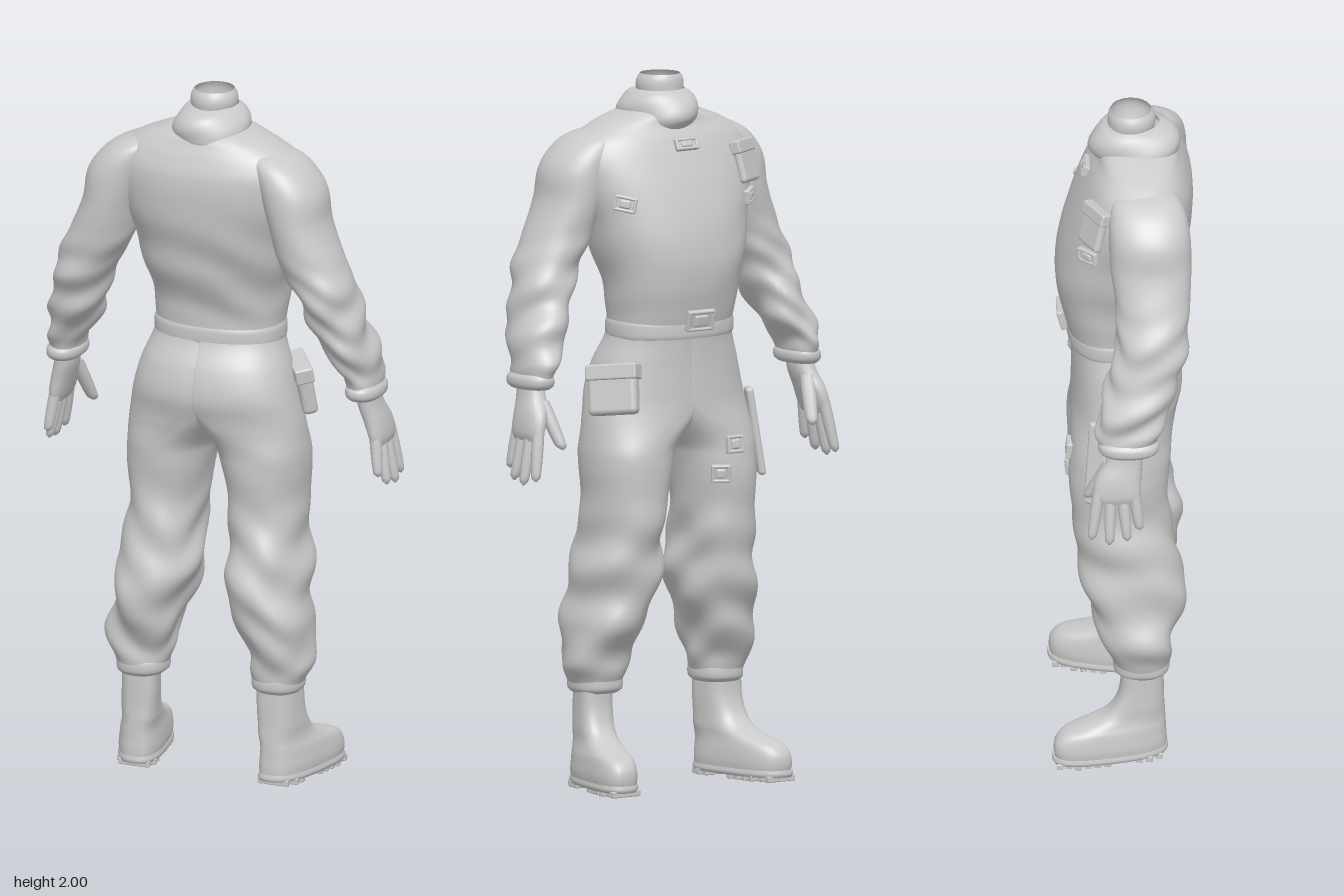
import * as THREE from 'three';
import { RoundedBoxGeometry } from 'three/addons/geometries/RoundedBoxGeometry.js';

const clay = new THREE.MeshStandardMaterial({ color: 0xcacaca });
clay.name = 'clay grey';
clay.side = THREE.DoubleSide;

// Smooth curve through the sections [y, xMin, xMax, zMin, zMax]
function sampler(sections) {
  const slope = (k, c) => {
    const a = sections[Math.max(k - 1, 0)], b = sections[Math.min(k + 1, sections.length - 1)];
    return (b[c] - a[c]) / (b[0] - a[0]);
  };
  return (y) => {
    let k = 0;
    while (k < sections.length - 2 && y > sections[k + 1][0]) k++;
    const p = sections[k], q = sections[k + 1], h = q[0] - p[0], t = (y - p[0]) / h;
    return [1, 2, 3, 4].map((c) =>
      (2 * t ** 3 - 3 * t * t + 1) * p[c] + (t ** 3 - 2 * t * t + t) * h * slope(k, c) +
      (3 * t * t - 2 * t ** 3) * q[c] + (t ** 3 - t * t) * h * slope(k + 1, c));
  };
}

// Surface of stacked superellipse rings; it keeps its surface function for attaching parts.
// shape(point, y, a) may reshape a point; start is the height where the mesh begins.
function loft(name, sections, { side = 1, n = 2.3, rows = 40, sides = 40, fold = () => 0, skew = 0, cap = true,
  shape = (p) => p, start: y0 = sections[0][0] } = {}) {
  const sample = sampler(sections), y1 = sections[sections.length - 1][0];
  const power = (v) => Math.sign(v) * Math.abs(v) ** (2 / n);
  const at = (y, a) => {
    const [x0, x1, z0, z1] = sample(y), f = fold(y, a);
    const z = (z0 + z1) / 2 + ((z1 - z0) / 2 + f) * power(Math.sin(a));
    const x = side * ((x0 + x1) / 2 + skew * (0.05 - z)) + ((x1 - x0) / 2 + f) * power(Math.cos(a));
    return shape(new THREE.Vector3(x, y, z), y, a);
  };
  const pos = [], index = [];
  for (let i = 0; i <= rows; i++)
    for (let j = 0; j < sides; j++)
      pos.push(...at(y0 + (y1 - y0) * i / rows, j / sides * Math.PI * 2).toArray());
  for (let i = 0; i < rows; i++)
    for (let j = 0; j < sides; j++) {
      const a = i * sides + j, b = i * sides + (j + 1) % sides;
      index.push(a, a + sides, b, b, a + sides, b + sides);
    }
  // flat ends with their own vertices
  if (cap) for (const [row, top] of [[0, false], [rows, true]]) {
    const first = pos.length / 3, c = new THREE.Vector3();
    for (let j = 0; j < sides; j++) {
      const k = (row * sides + j) * 3, v = pos.slice(k, k + 3);
      pos.push(...v);
      c.add(new THREE.Vector3(...v));
    }
    pos.push(...c.divideScalar(sides).toArray());
    for (let j = 0; j < sides; j++) {
      const a = first + j, b = first + (j + 1) % sides;
      index.push(first + sides, top ? b : a, top ? a : b);
    }
  }
  const g = new THREE.BufferGeometry();
  g.setAttribute('position', new THREE.Float32BufferAttribute(pos, 3));
  g.setIndex(index);
  g.computeVertexNormals();
  const mesh = new THREE.Mesh(g, clay);
  mesh.name = name;
  return { mesh, at };
}

// Rounded finger between two points
function finger(name, side, [x0, y0, z0], [x1, y1, z1], r) {
  const ring = (t, k) => {
    const x = x0 + (x1 - x0) * t, y = y0 + (y1 - y0) * t, z = z0 + (z1 - z0) * t;
    return [y, x - r * k, x + r * k, z - r * k, z + r * k];
  };
  return loft(name, [ring(1, 0.15), ring(0.95, 0.65), ring(0.82, 0.85), ring(0.4, 1), ring(0, 1)],
    { side, n: 2, rows: 16, sides: 10 }).mesh;
}

function box(name, w, h, d, r = 0.006) {
  const m = new THREE.Mesh(new RoundedBoxGeometry(w, h, d, 3, Math.min(r, d / 2.1)), clay);
  m.name = name;
  return m;
}

// Buckle or clip: a raised frame around a small tongue
function buckle(name, w, h) {
  const g = new THREE.Group(), t = 0.009;
  g.name = name;
  for (const s of [-1, 1]) {
    const rail = box('buckleRail', w, t, 0.018), post = box('bucklePost', t, h, 0.018);
    rail.position.y = s * (h - t) / 2;
    post.position.x = s * (w - t) / 2;
    g.add(rail, post);
  }
  g.add(box('buckleTongue', w * 0.5, h * 0.55, 0.02), box('buckleBase', w, h, 0.008));
  return g;
}

// Pocket: pouch body with a flap
function pocket(name, w, h, d) {
  const g = new THREE.Group(), flap = box('pocketFlap', w * 1.05, h * 0.32, d + 0.008);
  g.name = name;
  flap.position.y = h * 0.36;
  g.add(box('pocketBody', w, h, d, 0.015), flap);
  return g;
}

// Seat an object on a lofted surface, facing outward
function attach(obj, surface, y, a, roll = 0, out = 0.004) {
  const p = surface.at(y, a);
  const x = surface.at(y, a - 0.08).sub(surface.at(y, a + 0.08)).normalize();
  const up = surface.at(y + 0.03, a).sub(surface.at(y - 0.03, a)).normalize();
  const z = x.clone().cross(up).normalize();
  obj.quaternion.setFromRotationMatrix(new THREE.Matrix4().makeBasis(x, z.clone().cross(x), z));
  obj.rotateZ(roll);
  obj.position.copy(p).addScaledVector(z, out);
  return obj;
}

const ramp = THREE.MathUtils.smoothstep;

export function createModel() {
  const model = new THREE.Group();
  model.name = 'flightSuitBody';
  const FRONT = -Math.PI / 2;

  // Torso; below the waist its outline only guides the trousers
  const half = (y, r, z0, z1) => [y, -r, r, z0, z1];
  const torso = loft('torso', [
    half(0.94, 0.262, -0.15, 0.13), half(1.04, 0.254, -0.147, 0.147), half(1.12, 0.238, -0.145, 0.166),
    half(1.2, 0.216, -0.145, 0.152), half(1.28, 0.187, -0.15, 0.115), half(1.34, 0.187, -0.165, 0.112),
    half(1.42, 0.2, -0.183, 0.13), half(1.5, 0.22, -0.19, 0.155), half(1.6, 0.245, -0.175, 0.18),
    half(1.7, 0.275, -0.145, 0.195), half(1.78, 0.285, -0.113, 0.193), half(1.83, 0.26, -0.09, 0.177),
    half(1.865, 0.205, -0.07, 0.16), half(1.89, 0.14, -0.065, 0.145), half(1.91, 0.08, -0.05, 0.1),
  ], {
    start: 1.28, rows: 80, sides: 64,
    fold: (y, a) => 0.005 * Math.sin(y * 36 + 3 * Math.cos(a) + Math.sin(a * 3)) *
      ramp(y, 1.3, 1.4) * (1 - ramp(y, 1.5, 1.75)) * (0.55 + 0.45 * Math.sin(a)),
  });
  model.add(torso.mesh);

  // Waistband
  const waist = [1.27, 1.278, 1.312, 1.32].map((y, i) => {
    const e = i % 3 ? 0.002 : -0.001;
    return half(y, 0.187 + e, -0.155 - e, 0.113 + e);
  });
  model.add(loft('waistband', waist, { rows: 10, sides: 64 }).mesh);

  // Collar and open neck
  model.add(loft('collar', [
    half(1.85, 0.095, -0.075, 0.15), half(1.88, 0.107, -0.093, 0.163), half(1.915, 0.104, -0.088, 0.16),
    half(1.945, 0.085, -0.068, 0.135), half(1.957, 0.066, -0.045, 0.1),
  ], { n: 2, rows: 24, fold: (y, a) => 0.004 * Math.sin(a * 3 + y * 50), cap: false }).mesh);
  model.add(loft('neck', [
    half(1.87, 0.03, -0.02, 0.05), half(1.92, 0.055, -0.04, 0.08), half(1.965, 0.067, -0.042, 0.092),
    half(1.988, 0.064, -0.04, 0.088), half(2.0, 0.056, -0.034, 0.08),
  ], { n: 2, rows: 14, cap: false }).mesh);

  const legs = {};
  for (const side of [1, -1]) {
    const label = side > 0 ? 'left' : 'right';

    // Sleeve with folds at the elbow and forearm
    model.add(loft(label + 'Sleeve', [
      [1.17, 0.415, 0.496, -0.075, 0.08], [1.22, 0.398, 0.498, -0.085, 0.095], [1.3, 0.345, 0.492, -0.07, 0.13],
      [1.38, 0.315, 0.465, -0.045, 0.155], [1.46, 0.28, 0.453, -0.03, 0.172], [1.55, 0.23, 0.415, -0.028, 0.18],
      [1.66, 0.2, 0.368, -0.042, 0.185], [1.75, 0.17, 0.352, -0.045, 0.182], [1.81, 0.15, 0.308, -0.04, 0.167],
      [1.842, 0.14, 0.258, -0.025, 0.14], [1.857, 0.15, 0.21, 0.01, 0.1],
    ], {
      side, n: 2.1, rows: 110, sides: 44,
      fold: (y, a) => (1 - ramp(y, 1.4, 1.62)) * ramp(y, 1.17, 1.23) *
        (0.005 * Math.sin(y * 58 + side * 2.6 * Math.cos(a) + 1.5 * Math.sin(2 * a)) + 0.004 * Math.sin(y * 37 + 3 * a)),
    }).mesh);
    model.add(loft(label + 'Cuff', [
      [1.15, 0.418, 0.497, -0.065, 0.075], [1.16, 0.408, 0.506, -0.077, 0.088],
      [1.18, 0.407, 0.506, -0.08, 0.09], [1.192, 0.415, 0.498, -0.072, 0.08],
    ], { side, rows: 12 }).mesh);

    // Hand
    const hand = new THREE.Group();
    hand.name = label + 'Hand';
    hand.add(loft('palm', [
      [1.01, 0.474, 0.51, -0.088, 0.03], [1.03, 0.465, 0.515, -0.096, 0.038], [1.08, 0.447, 0.509, -0.088, 0.04],
      [1.13, 0.432, 0.496, -0.058, 0.044], [1.18, 0.43, 0.49, -0.04, 0.047],
    ], { side, rows: 20, sides: 24 }).mesh);
    const tips = [[0.505, 0.925, 0.035], [0.516, 0.895, 0], [0.52, 0.886, -0.05], [0.514, 0.9, -0.1]];
    tips.forEach((tip, i) =>
      hand.add(finger('finger', side, [0.488, 1.05, 0.018 - i * 0.032], tip, 0.017)));
    hand.add(finger('thumb', side, [0.455, 1.12, -0.045], [0.428, 0.985, -0.11], 0.021));
    model.add(hand);

    // Baggy trouser leg: gathered at the ankle, merging into the hip outline above
    legs[label] = loft(label + 'TrouserLeg', [
      [0.275, 0.143, 0.272, -0.02, 0.117], [0.3, 0.135, 0.28, -0.03, 0.125], [0.35, 0.122, 0.3, -0.05, 0.132],
      [0.4, 0.108, 0.306, -0.068, 0.142], [0.46, 0.09, 0.293, -0.095, 0.16], [0.53, 0.065, 0.28, -0.115, 0.172],
      [0.6, 0.048, 0.28, -0.125, 0.16], [0.7, 0.052, 0.265, -0.14, 0.138], [0.8, 0.045, 0.257, -0.15, 0.122],
      [0.9, 0.025, 0.265, -0.153, 0.128], [1, 0.002, 0.262, -0.148, 0.135], [1.08, 0, 0.25, -0.145, 0.15],
      [1.29, 0, 0.187, -0.15, 0.113],
    ], {
      side, n: 2.2, rows: 130, sides: 52,
      fold: (y, a) => (0.15 + 0.85 * (1 - ramp(y, 0.6, 0.88))) * ramp(y, 0.29, 0.37) *
        (0.006 * Math.sin(y * 40 + 2.8 * Math.cos(a + side) + 1.5 * Math.sin(2 * a)) + 0.005 * Math.sin(y * 25 + 3 * a * side)),
      shape: (p, y, a) => {
        const t = ramp(y, 0.94, 1.1);
        if (t === 0) return p;
        const hip = torso.at(y, a);
        if (side * hip.x < 0) hip.set(hip.x * 0.3, y, hip.z * 0.97);
        return p.lerp(hip, t);
      },
    });
    model.add(legs[label].mesh);
    model.add(loft(label + 'AnkleCuff', [
      [0.268, 0.148, 0.268, -0.018, 0.112], [0.278, 0.136, 0.277, -0.03, 0.124],
      [0.305, 0.134, 0.279, -0.032, 0.126], [0.325, 0.14, 0.28, -0.03, 0.12],
    ], { side, rows: 12 }).mesh);

    // Boot with a lugged sole
    const boot = new THREE.Group();
    boot.name = label + 'Boot';
    boot.add(loft('bootUpper', [
      [0.02, 0.158, 0.284, -0.195, 0.118], [0.05, 0.155, 0.287, -0.2, 0.118], [0.08, 0.157, 0.284, -0.194, 0.116],
      [0.103, 0.16, 0.28, -0.17, 0.115], [0.12, 0.161, 0.274, -0.12, 0.114], [0.14, 0.16, 0.27, -0.067, 0.113],
      [0.17, 0.16, 0.27, -0.034, 0.111], [0.22, 0.158, 0.268, -0.015, 0.11], [0.285, 0.157, 0.267, -0.01, 0.108],
    ], { side, rows: 60, n: 2.7, skew: 0.19 }).mesh);
    boot.add(loft('sole', [
      [0.012, 0.157, 0.285, -0.2, 0.119], [0.02, 0.153, 0.289, -0.204, 0.122], [0.032, 0.155, 0.287, -0.202, 0.12],
    ], { side, rows: 6, n: 2.7, skew: 0.19 }).mesh);
    for (const z of [0.095, 0.068, 0.041, -0.05, -0.077, -0.104, -0.131, -0.158, -0.182])
      for (const k of [-1, 0, 1]) {
        const lug = box('soleLug', 0.033, 0.018, 0.019, 0.003);
        const spread = z > 0.09 || z < -0.15 ? 0.03 : 0.042;
        lug.position.set(side * (0.221 + 0.19 * (0.05 - z)) + k * spread, 0.009, z);
        boot.add(lug);
      }
    model.add(boot);
  }

  // Chest and belt fittings
  model.add(attach(buckle('collarClip', 0.075, 0.035), torso, 1.81, FRONT, 0, 0.004));
  model.add(attach(pocket('chestPocket', 0.1, 0.12, 0.024), torso, 1.745, FRONT - 0.8));
  model.add(attach(buckle('rightChestTag', 0.07, 0.04), torso, 1.65, FRONT - 0.92, 0.1));
  model.add(attach(buckle('leftChestTag', 0.065, 0.045), torso, 1.66, FRONT + 0.87, -0.2));
  model.add(attach(buckle('beltBuckle', 0.09, 0.06), torso, 1.325, FRONT, 0, 0.01));

  // Hip pouch and thigh fittings
  model.add(attach(pocket('hipPouch', 0.145, 0.14, 0.045), torso, 1.13, FRONT + 1.12, 0.1, 0.015));
  model.add(attach(box('thighSheath', 0.06, 0.25, 0.022, 0.01), legs.right, 0.98, FRONT - 1.1));
  model.add(attach(buckle('upperThighTag', 0.055, 0.05), legs.right, 0.96, FRONT));
  model.add(attach(buckle('innerThighTag', 0.055, 0.05), legs.right, 0.88, FRONT + 0.45));
  return model;
}
